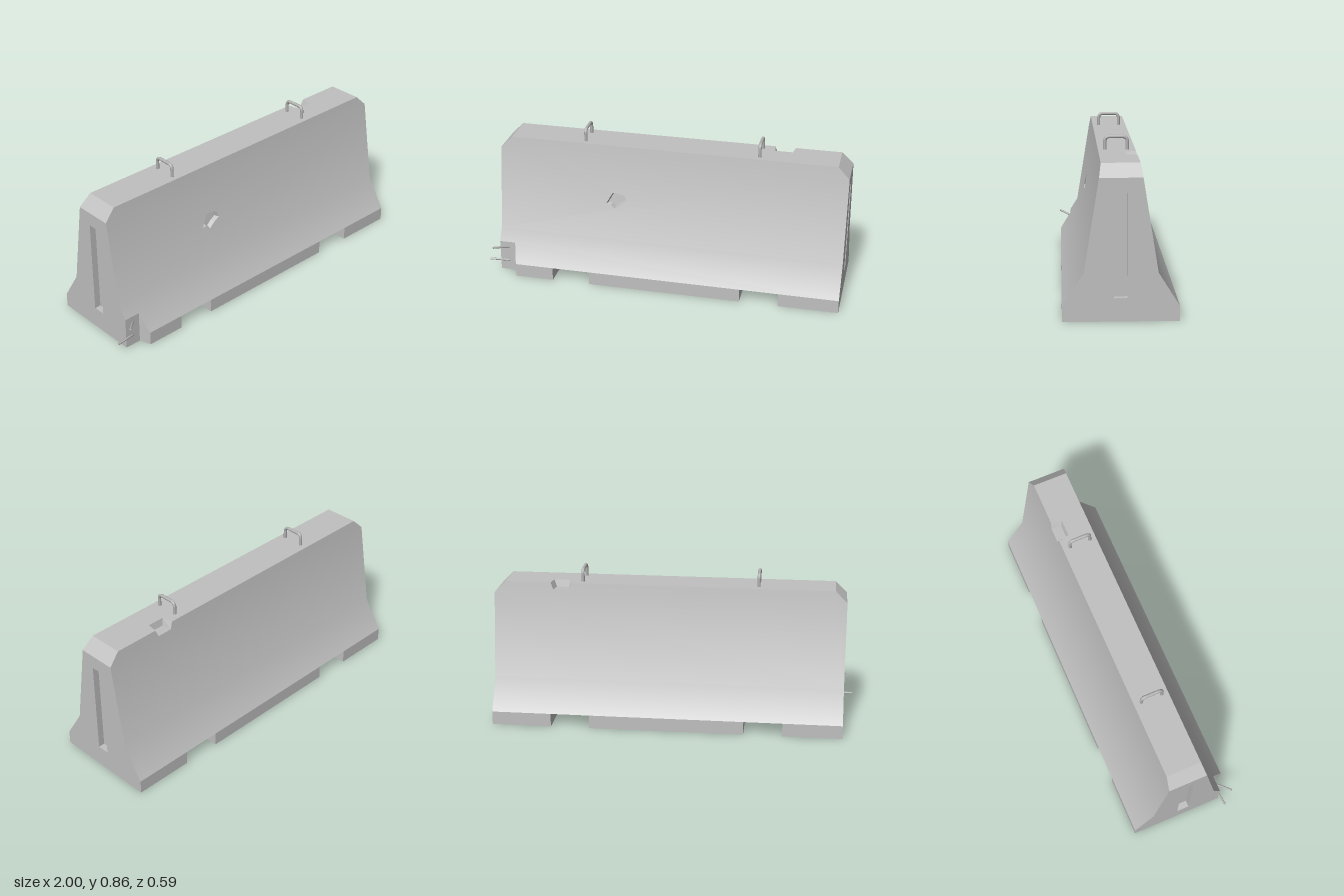
import * as THREE from 'three';

const concrete = new THREE.MeshStandardMaterial({ color: 0xc0c0c0 });
concrete.name = 'concrete';
const steel = new THREE.MeshStandardMaterial({ color: 0xb2b2b2 });
steel.name = 'steel';

// Main dimensions
const X0 = -0.94, X1 = 1, TOP = 0.778, MID = 0.245, SKIRT = 0.075;
const CH_Y = 0.715, CH = 0.063, CZ = -0.003;
const CUT_Y = 0.177, CUT_X = -0.85, CUT_X2 = -0.83;

// Half width of the barrier at height y, and the z of its front (s=1) or back (s=-1)
function half(y) {
  if (y <= SKIRT) return 0.29;
  if (y <= MID) return THREE.MathUtils.mapLinear(y, SKIRT, MID, 0.29, 0.183);
  return THREE.MathUtils.mapLinear(y, MID, TOP, 0.183, 0.097);
}
const zAt = (y, s) => CZ + s * half(y);
const CUT_Z = zAt(CUT_Y, 1);
const V = (x, y, z) => new THREE.Vector3(x, y, z);

export function createModel() {
  const root = new THREE.Group();
  root.name = 'concreteBarrier';

  const add = (name, geo, mat = concrete) => {
    const mesh = new THREE.Mesh(geo, mat);
    mesh.name = name;
    root.add(mesh);
    return mesh;
  };

  // Flat outline (with holes) placed in space by a mapping rule
  function panel(name, outline, map, flip = false, holes = []) {
    const toPts = (list) => list.map(([a, b]) => new THREE.Vector2(a, b));
    const shape = new THREE.Shape(toPts(outline));
    holes.forEach((h) => shape.holes.push(new THREE.Path(toPts(h))));
    const geo = new THREE.ShapeGeometry(shape);
    const p = geo.attributes.position;
    for (let i = 0; i < p.count; i++) p.setXYZ(i, ...map(p.getX(i), p.getY(i)));
    if (flip) geo.index.array.reverse();
    geo.computeVertexNormals();
    return add(name, geo);
  }

  // Strip of quads between two rings of points, facing the ring's inside
  function wall(name, a, b, closed = true) {
    const pts = [];
    const n = a.length;
    for (let i = 0; i < (closed ? n : n - 1); i++) {
      const j = (i + 1) % n;
      pts.push(a[i], a[j], b[i], a[j], b[j], b[i]);
    }
    const geo = new THREE.BufferGeometry().setFromPoints(pts);
    geo.computeVertexNormals();
    add(name, geo);
  }

  // Convex polygon, corners counter-clockwise
  function poly(name, pts) {
    const tris = [];
    for (let i = 1; i < pts.length - 1; i++) tris.push(pts[0], pts[i], pts[i + 1]);
    const geo = new THREE.BufferGeometry().setFromPoints(tris);
    geo.computeVertexNormals();
    add(name, geo);
  }

  // Softly blended normals across the bend between slope and upper face
  const upperN = V(0, 0.086, 0.533).normalize();
  const slopeN = V(0, 0.107, 0.17).normalize();
  const bendN = upperN.clone().add(slopeN).normalize();
  function blend(mesh, s, farY, farN) {
    const { position: p, normal } = mesh.geometry.attributes;
    for (let i = 0; i < p.count; i++) {
      const t = (p.getY(i) - MID) / (farY - MID);
      const n = bendN.clone().lerp(farN, t).normalize();
      normal.setXYZ(i, 0, n.y, s * n.z);
    }
  }

  const side = (s) => (x, y) => [x, y, zAt(y, s)];
  const rect = (a0, b0, a1, b1) => [[a0, b0], [a1, b0], [a1, b1], [a0, b1]];

  // Shallow spall in the front face
  const spall = [[-0.33, 0.445], [-0.30, 0.443], [-0.28, 0.422], [-0.245, 0.447],
    [-0.21, 0.465], [-0.222, 0.5], [-0.262, 0.512], [-0.292, 0.512]];
  const spallFloor = spall.map(([x, y]) => [-0.27 + (x + 0.27) * 0.85, 0.47 + (y - 0.47) * 0.85]);
  const sunk = (x, y) => [x, y, zAt(y, 1) - 0.025];
  wall('spallWall', spall.map(([x, y]) => V(...side(1)(x, y))), spallFloor.map(([x, y]) => V(...sunk(x, y))));
  panel('spallFloor', spallFloor, sunk);

  // Chip broken out of the rear top edge
  const FLOOR = 0.74;
  const chipTop = [[0.57, zAt(TOP, -1)], [0.58, -0.04], [0.675, -0.04], [0.685, zAt(TOP, -1)]];
  const chipLow = [[0.585, zAt(FLOOR, -1)], [0.59, -0.05], [0.66, -0.05], [0.67, zAt(FLOOR, -1)]];
  wall('chipWall', chipTop.map(([x, z]) => V(x, TOP, z)), chipLow.map(([x, z]) => V(x, FLOOR, z)), false);
  panel('chipFloor', chipLow, (x, z) => [x, FLOOR, z], true);

  // Upper faces
  const shoulderR = [[X0, MID], [X1, MID], [X1, CH_Y], [X1 - CH, TOP]];
  const shoulderL = [[X0 + CH, TOP], [X0, CH_Y]];
  blend(panel('frontUpper', [...shoulderR, ...shoulderL], side(1), false, [spall]), 1, TOP, upperN);
  const bite = [[0.685, TOP], [0.67, FLOOR], [0.585, FLOOR], [0.57, TOP]];
  blend(panel('backUpper', [...shoulderR, ...bite, ...shoulderL], side(-1), true), -1, TOP, upperN);

  // Sloped lower faces, the front one with a broken corner
  blend(panel('frontSlope', [[X0, CUT_Y], [CUT_X, CUT_Y], [CUT_X2, SKIRT], [X1, SKIRT], [X1, MID], [X0, MID]],
    side(1)), 1, SKIRT, slopeN);
  blend(panel('backSlope', rect(X0, SKIRT, X1, MID), side(-1), true), -1, SKIRT, slopeN);

  // Top and chamfered ends
  panel('top', [[X0 + CH, zAt(TOP, -1)], ...chipTop, [X1 - CH, zAt(TOP, -1)],
    [X1 - CH, zAt(TOP, 1)], [X0 + CH, zAt(TOP, 1)]], (x, z) => [x, TOP, z], true);
  for (const s of [1, -1]) {
    const xe = s > 0 ? X1 : X0;
    poly('endChamfer', [V(xe, CH_Y, zAt(CH_Y, s)), V(xe, CH_Y, zAt(CH_Y, -s)),
      V(xe - s * CH, TOP, zAt(TOP, -s)), V(xe - s * CH, TOP, zAt(TOP, s))]);
  }

  // Ends with a vertical keyway slot
  const slot = rect(-0.035, 0.118, 0.033, 0.64);
  for (const s of [1, -1]) {
    const xe = s > 0 ? X1 : X0;
    const toe = s > 0 ? [[zAt(0, 1), 0], [zAt(0, 1), SKIRT]] : [[CUT_Z, 0], [CUT_Z, CUT_Y]];
    panel('end', [[zAt(0, -1), 0], ...toe, [zAt(MID, 1), MID], [zAt(CH_Y, 1), CH_Y],
      [zAt(CH_Y, -1), CH_Y], [zAt(MID, -1), MID], [zAt(0, -1), SKIRT]],
    (z, y) => [xe, y, z], s > 0, [slot]);
    const xi = xe - s * 0.035;
    const ring = s > 0 ? [...slot].reverse() : slot;
    wall('keywayWall', ring.map(([z, y]) => V(xe, y, z)), ring.map(([z, y]) => V(xi, y, z)));
    panel('keywayFloor', slot, (z, y) => [xi, y, z], s > 0);
  }

  // Feet, separated by two drainage channels
  const F = zAt(0, 1), B = zAt(0, -1);
  const feet = [[X0, -0.613], [-0.4, 0.455], [0.67, X1]];
  feet.forEach(([a, b], i) => {
    panel('frontSkirt', rect(i ? a : CUT_X2, 0, b, SKIRT), side(1));
    panel('backSkirt', rect(a, 0, b, SKIRT), side(-1), true);
    const frontEdge = i ? [[a, F]] : [[CUT_X2, F], [CUT_X, CUT_Z], [a, CUT_Z]];
    panel('footBottom', [[a, B], [b, B], [b, F], ...frontEdge], (x, z) => [x, 0, z]);
    if (i === 2) return;
    const c = feet[i + 1][0];
    panel('channelCeiling', rect(b, B, c, F), (x, z) => [x, SKIRT, z]);
    poly('channelWall', [V(b, 0, F), V(b, 0, B), V(b, SKIRT, B), V(b, SKIRT, F)]);
    poly('channelWall', [V(c, 0, B), V(c, 0, F), V(c, SKIRT, F), V(c, SKIRT, B)]);
  });

  // Broken corner faces
  panel('brokenCornerFace', rect(X0, 0, CUT_X, CUT_Y), (x, y) => [x, y, CUT_Z]);
  poly('brokenCornerSide', [V(CUT_X, 0, CUT_Z), V(CUT_X2, 0, F), V(CUT_X2, SKIRT, F), V(CUT_X, CUT_Y, CUT_Z)]);

  // Lifting hoops
  const R = 0.009, legZ = 0.058, peak = 0.846, bend = 0.026;
  for (const x of [-0.46, 0.51]) {
    const path = new THREE.CurvePath();
    const k = [V(x, TOP - 0.02, legZ), V(x, peak - bend, legZ), V(x, peak, legZ - bend),
      V(x, peak, bend - legZ), V(x, peak - bend, -legZ), V(x, TOP - 0.02, -legZ)];
    path.add(new THREE.LineCurve3(k[0], k[1]));
    path.add(new THREE.QuadraticBezierCurve3(k[1], V(x, peak, legZ), k[2]));
    path.add(new THREE.LineCurve3(k[2], k[3]));
    path.add(new THREE.QuadraticBezierCurve3(k[3], V(x, peak, -legZ), k[4]));
    path.add(new THREE.LineCurve3(k[4], k[5]));
    add('liftingHoop', new THREE.TubeGeometry(path, 48, R, 10), steel);
  }

  // Exposed reinforcing bars with capped tips
  const bars = [
    [V(-0.87, 0.132, 0.2), V(-0.915, 0.153, 0.246), V(-0.96, 0.165, 0.288)],
    [V(-0.865, 0.053, 0.212), V(-0.93, 0.062, 0.228), V(-1.0, 0.062, 0.236)],
  ];
  for (const pts of bars) {
    const curve = new THREE.CatmullRomCurve3(pts);
    add('reinforcingBar', new THREE.TubeGeometry(curve, 8, 0.006, 8), steel);
    const tip = add('barTip', new THREE.CircleGeometry(0.006, 8), steel);
    tip.position.copy(pts[2]);
    tip.lookAt(pts[2].clone().add(curve.getTangent(1)));
  }

  return root;
}
